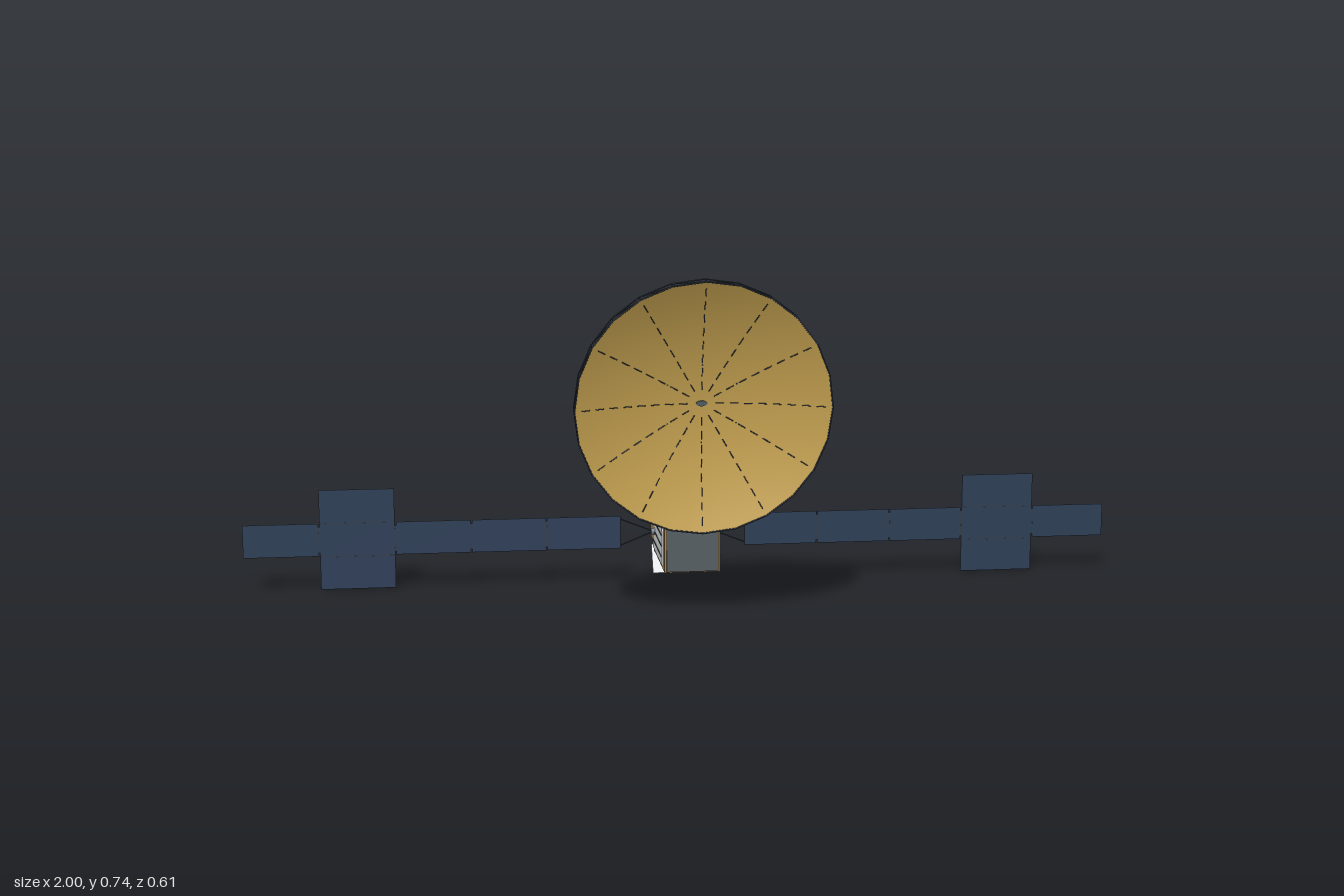
import * as THREE from 'three';

const paint = (name, color, side = THREE.FrontSide) => {
  const m = new THREE.MeshStandardMaterial({ color, side });
  m.name = name;
  return m;
};
const V = (x, y, z) => new THREE.Vector3(x, y, z);

export function createModel() {
  const root = new THREE.Group();
  root.name = 'satellite';
  const foil = paint('goldFoil', 0xb4884a);
  const dishGold = paint('dishGold', 0xc8a452, THREE.DoubleSide);
  const white = paint('radiatorWhite', 0xe0e2e4);
  const navy = paint('solarNavy', 0x2e3f58);
  const grey = paint('panelGrey', 0x7c838a);
  const plateGrey = paint('frontPlateGrey', 0x566064);
  const dark = paint('darkStrut', 0x363d47);
  const metal = paint('ringMetal', 0x858d98, THREE.DoubleSide);
  const CY = 0.12; // height of the body axis

  const group = (name, parent = root) => {
    const g = new THREE.Group();
    g.name = name;
    parent.add(g);
    return g;
  };
  const add = (name, geo, mat, parent = root) => {
    const m = new THREE.Mesh(geo, mat);
    m.name = name;
    parent.add(m);
    return m;
  };
  const box = (name, w, h, d, x, y, z, mat, parent) => {
    const m = add(name, new THREE.BoxGeometry(w, h, d), mat, parent);
    m.position.set(x, y, z);
    return m;
  };
  const strut = (name, a, b, r, mat, parent) => {
    const dir = b.clone().sub(a);
    const m = add(name, new THREE.CylinderGeometry(r, r, dir.length(), 6), mat, parent);
    m.position.copy(a).add(b).multiplyScalar(0.5);
    m.quaternion.setFromUnitVectors(V(0, 1, 0), dir.normalize());
    return m;
  };

  // Body: main box, rear module, front plate and frame between the boxes
  const body = group('body');
  box('mainBody', 0.124, 0.108, 0.214, 0, 0.119, -0.042, foil, body);
  box('rearModule', 0.114, 0.097, 0.14, 0, CY, -0.218, foil, body);
  box('frontPlate', 0.116, 0.103, 0.007, 0, 0.1195, 0.0685, plateGrey, body);
  box('rearFrame', 0.126, 0.11, 0.003, 0, 0.119, -0.149, grey, body);

  // Side radiators with three dark pipes each
  for (const s of [1, -1]) {
    const side = group(s > 0 ? 'leftRadiator' : 'rightRadiator', body);
    box('radiatorPanel', 0.004, 0.088, 0.187, s * 0.0635, 0.119, -0.0545, white, side);
    for (const y of [0.095, 0.12, 0.144])
      box('radiatorPipe', 0.002, 0.0022, 0.178, s * 0.066, y, -0.054, dark, side);
  }

  // Rear ring with recessed nozzle
  const ringProfile = [[0.042, 0], [0.042, 0.017], [0.031, 0.017], [0.029, 0.003], [0.0, 0.003]];
  const nozzleProfile = [[0.01, 0.003], [0.014, 0.009], [0.022, 0.015], [0.019, 0.015], [0.008, 0.004]];
  const turned = (profile) => {
    const pts = [];
    profile.forEach(([r, y], i) => { // doubled points keep the edges sharp
      pts.push(new THREE.Vector2(r, y));
      if (i > 0 && i < profile.length - 1) pts.push(new THREE.Vector2(r, y + 1e-5));
    });
    return new THREE.LatheGeometry(pts, 32).rotateX(-Math.PI / 2).translate(0, CY, -0.288);
  };
  add('adapterRing', turned(ringProfile), metal, body);
  add('nozzle', turned(nozzleProfile), plateGrey, body);

  // Tilted flaps above and below the rear module, each in two halves
  for (const s of [1, -1]) {
    const flap = group(s > 0 ? 'upperFlap' : 'lowerFlap');
    const lean = Math.atan2(0.04, 0.06);
    for (const x of [-0.0315, 0.0315]) {
      const p = box('flapPanel', 0.0615, 0.072, 0.0025, x, CY + s * 0.0865, -0.204, white, flap);
      p.rotation.x = s * lean;
      strut('flapHinge', V(x, CY + s * 0.047, -0.227), V(x, CY + s * 0.06, -0.222), 0.0015, dark, flap);
    }
  }

  // Solar wings
  const WZ = -0.115;
  const faces = [grey, grey, grey, grey, navy, grey];
  for (const s of [1, -1]) {
    const wing = group(s > 0 ? 'leftWing' : 'rightWing');
    const hub = add('wingHub', new THREE.CylinderGeometry(0.008, 0.008, 0.012, 16), grey, wing);
    hub.rotation.z = Math.PI / 2;
    hub.position.set(s * 0.068, CY, WZ);
    for (const t of [1, -1])
      strut('yokeArm', V(s * 0.068, CY, WZ), V(s * 0.143, CY + t * 0.03, WZ), 0.0016, dark, wing);
    for (let i = 0; i < 5; i++) {
      const x = s * (0.2285 + i * 0.1714);
      const rows = i === 3 ? [-1, 0, 1] : [0];
      for (const r of rows)
        box('solarPanel', 0.1685, 0.0755, 0.003, x, CY + r * 0.0772, WZ, faces, wing);
      // hinge strips between panels and a seam along the back
      if (i < 4) box('panelHinge', 0.003, 0.06, 0.002, x + s * 0.0857, CY, WZ, dark, wing);
      for (const r of rows)
        box('backSeam', 0.16, 0.0012, 0.001, x, CY + r * 0.0772, WZ - 0.0018, dark, wing);
      if (i === 3) for (const t of [1, -1])
        box('sideHinge', 0.165, 0.0022, 0.002, x, CY + t * 0.0386, WZ, dark, wing);
    }
  }

  // Dish antenna, tilted slightly forward at the top
  const dish = group('dishAntenna');
  dish.position.set(0, 0.466, 0.277);
  dish.rotation.x = 0.105;
  const R = 0.273, DEPTH = 0.053, SIDES = 24;
  const bowl = (r) => DEPTH * ((r * r) / (R * R) - 1);
  const profile = [];
  for (let i = 0; i <= 14; i++) profile.push(new THREE.Vector2((R * i) / 14, bowl((R * i) / 14)));
  add('reflector', new THREE.LatheGeometry(profile, SIDES).rotateX(Math.PI / 2), dishGold, dish);

  // Rim truss: two rings, posts and diagonals
  const truss = group('rimTruss', dish);
  const rim = (k, z) => {
    const a = (k / SIDES) * Math.PI * 2;
    return V(Math.sin(a) * R, Math.cos(a) * R, z);
  };
  for (let k = 0; k < SIDES; k++) {
    strut('frontRing', rim(k, 0), rim(k + 1, 0), 0.0018, dark, truss);
    strut('rearRing', rim(k, -0.028), rim(k + 1, -0.028), 0.0015, dark, truss);
    strut('trussPost', rim(k, 0), rim(k, -0.028), 0.0013, dark, truss);
    const down = k < SIDES / 2 ? 1 : 0; // diagonals mirror left to right
    strut('trussDiagonal', rim(k + 1 - down, 0), rim(k + down, -0.028), 0.0013, dark, truss);
  }

  // Dashed ribs on the bowl and a small centre hub
  const ribs = group('dishRibs', dish);
  for (let k = 0; k < 12; k++) {
    const a = (k / 12) * Math.PI * 2;
    const at = (r) => V(Math.sin(a) * r, Math.cos(a) * r, bowl(r) + 0.0008);
    for (let r = 0.03; r < 0.26; r += 0.03) strut('ribDash', at(r), at(r + 0.018), 0.0011, dark, ribs);
    if (k % 2 === 0) for (const r of [0.085, 0.16]) {
      const pin = strut('ribPin', at(r), at(r).add(V(0, 0, -0.003)), 0.002, dark, ribs);
      pin.name = 'ribPin';
    }
  }
  const hub = add('dishHub', new THREE.CylinderGeometry(0.012, 0.012, 0.004, 16), plateGrey, dish);
  hub.rotation.x = Math.PI / 2;
  hub.scale.z = 0.5;
  hub.position.z = -DEPTH + 0.001;
  strut('hubPin', V(0, 0, -DEPTH), V(0, 0, -DEPTH - 0.003), 0.0035, dark, dish);

  // Boom carrying the dish, with forked legs on the body
  const boom = group('boom');
  strut('boomTube', V(0, 0.195, 0.0), V(0, 0.195, 0.222), 0.004, foil, boom);
  strut('boomRail', V(0, 0.1985, 0.0), V(0, 0.1985, 0.222), 0.0018, dark, boom);
  strut('boomRail', V(0, 0.1915, 0.0), V(0, 0.1915, 0.222), 0.0018, dark, boom);
  for (const s of [1, -1])
    strut('boomLeg', V(0, 0.195, 0.002), V(s * 0.023, 0.171, -0.085), 0.0028, dark, boom);

  return root;
}
